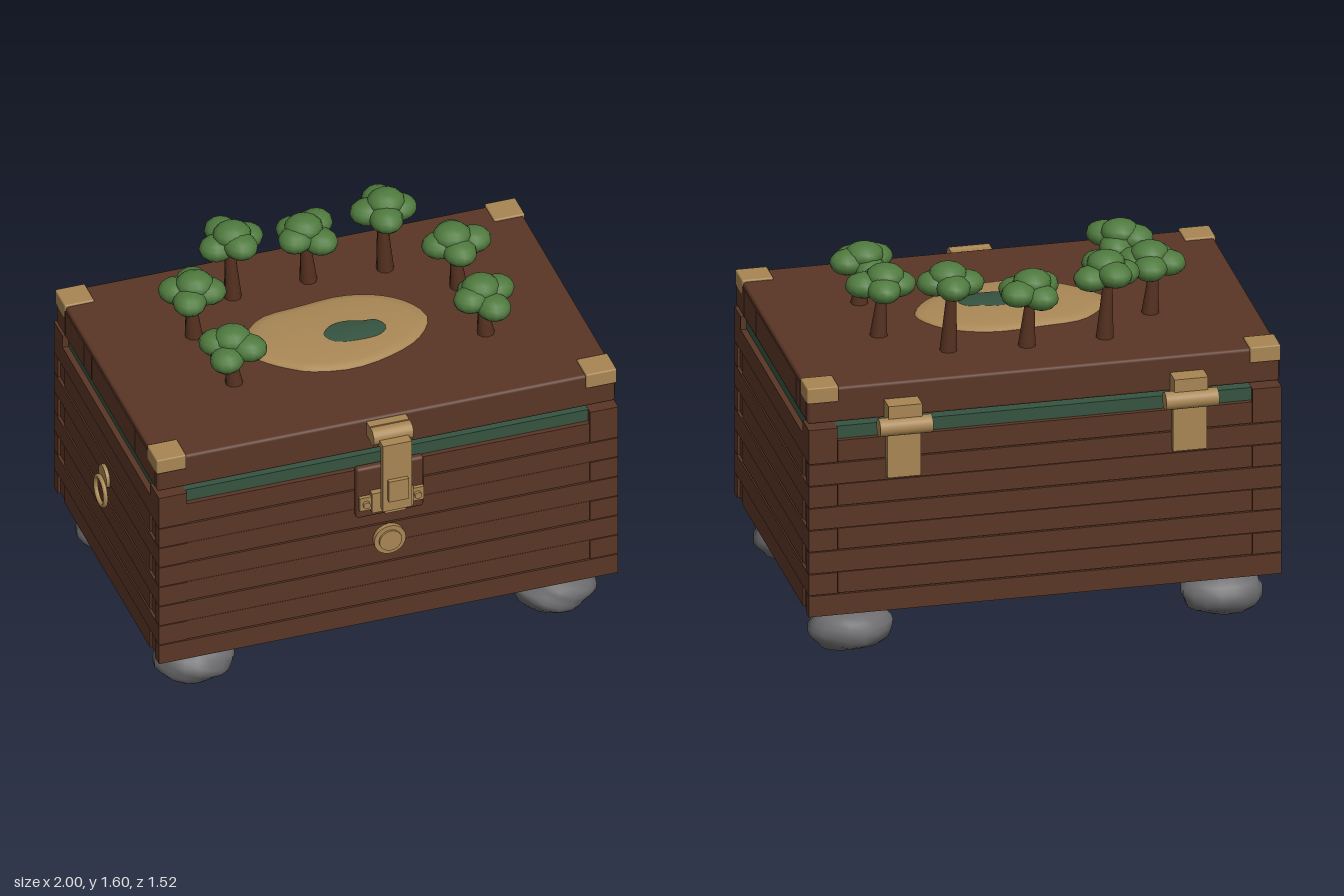
import * as THREE from 'three';
import { RoundedBoxGeometry } from 'three/addons/geometries/RoundedBoxGeometry.js';

const mat = (name, color, extra = {}) => {
  const m = new THREE.MeshStandardMaterial({ color, ...extra });
  m.name = name;
  return m;
};

export function createModel() {
  const wood = mat('wood brown', 0x5a3626);
  const bark = mat('bark brown', 0x54301f);
  const brass = mat('brass', 0xa88653);
  const sandMat = mat('sand', 0xaa8856);
  const teal = mat('deep green', 0x355340);
  const leaf = mat('leaf green', 0x4f7a3e);
  const stone = mat('stone grey', 0x6c6c6e);

  const root = new THREE.Group();
  root.name = 'treasureChest';
  const group = (name, parent = root) => {
    const g = new THREE.Group();
    g.name = name;
    parent.add(g);
    return g;
  };
  const add = (name, geo, material, parent = root) => {
    const m = new THREE.Mesh(geo, material);
    m.name = name;
    parent.add(m);
    return m;
  };
  // Box given by its minimum and maximum on each axis
  const box = (name, [x0, x1], [y0, y1], [z0, z1], material, parent, round = 0) => {
    const s = [x1 - x0, y1 - y0, z1 - z0];
    const geo = round ? new RoundedBoxGeometry(...s, 1, round) : new THREE.BoxGeometry(...s);
    const m = add(name, geo, material, parent);
    m.position.set((x0 + x1) / 2, (y0 + y1) / 2, (z0 + z1) / 2);
    return m;
  };
  // Cylinder lying along an axis
  const rod = (name, r, len, axis, [x, y, z], material, parent) => {
    const geo = new THREE.CylinderGeometry(r, r, len, 20);
    if (axis === 'x') geo.rotateZ(Math.PI / 2);
    if (axis === 'z') geo.rotateX(Math.PI / 2);
    const m = add(name, geo, material, parent);
    m.position.set(x, y, z);
    return m;
  };

  const CX = 0.016; // centre line of the chest
  const X = [-0.967, 1.0], Z = [-0.68, 0.63];

  // Chest body: rows of planks with interlocking corners
  const body = group('body');
  box('core', [X[0] + 0.012, X[1] - 0.012], [0.222, 0.985], [Z[0] + 0.012, Z[1] - 0.012], wood, body);
  box('base', [-0.88, 0.915], [0.188, 0.23], [-0.585, 0.535], wood, body, 0.01);
  box('lining', [X[0] + 0.025, X[1] - 0.025], [0.95, 1.043], [Z[0] + 0.025, Z[1] - 0.025], teal, body);
  const rows = [0.22, 0.315, 0.41, 0.507, 0.603, 0.7, 0.797, 0.893, 0.99];
  const T = 0.12, gap = 0.002;
  for (let i = 0; i < 8; i++) {
    const y = [rows[i] + gap, rows[i + 1] - gap];
    const odd = i % 2;
    const inset = odd ? 0.004 : 0;
    const fx = odd ? [X[0] + T + gap, X[1] - T - gap] : X;
    const sz = odd ? Z : [Z[0] + T + gap, Z[1] - T - gap];
    box('frontPlank', fx, y, [Z[1] - 0.05, Z[1] - inset], wood, body);
    box('backPlank', fx, y, [Z[0] + inset, Z[0] + 0.05], wood, body);
    for (const s of [0, 1]) {
      const x = s ? [X[1] - T, X[1] - 0.004 + inset] : [X[0] + 0.004 - inset, X[0] + T];
      box('sidePlank', x, y, sz, wood, body);
    }
  }
  for (const x of [[X[0], X[0] + T], [X[1] - T, X[1]]])
    for (const z of [[Z[0], Z[0] + 0.11], [Z[1] - 0.11, Z[1]]])
      box('cornerBlock', x, [0.985, 1.045], z, wood, body);

  // Lid with board ends and brass corners
  const lid = group('lid');
  box('lidSlab', [X[0] + 0.002, X[1] - 0.002], [1.057, 1.21], [-0.65, 0.602], wood, lid, 0.012);
  const cuts = [-0.635, -0.53, -0.46, -0.3, -0.2, -0.08, 0.126, 0.244, 0.333, 0.455, 0.588];
  for (let i = 0; i < cuts.length - 1; i++)
    for (const x of [[X[0] - 0.002, X[0] + 0.02], [X[1] - 0.02, X[1] + 0.001]])
      box('lidBoardEnd', x, [1.074, 1.192], [cuts[i] + 0.002, cuts[i + 1] - 0.002], wood, lid);
  for (const x of [[X[0] - 0.003, -0.842], [0.87, X[1] + 0.002]])
    for (const z of [[-0.658, -0.535], [0.488, 0.61]])
      box('lidCorner', x, [1.15, 1.219], z, brass, lid, 0.006);

  // Boulder feet
  for (const [x, z, seed] of [[-0.755, 0.455, 1], [0.79, 0.455, 2.3], [-0.755, -0.503, 3.9], [0.79, -0.503, 5.2]]) {
    const geo = new THREE.SphereGeometry(1, 18, 12);
    const p = geo.attributes.position, v = new THREE.Vector3();
    for (let i = 0; i < p.count; i++) {
      v.fromBufferAttribute(p, i);
      const k = 1 + 0.05 * Math.sin(v.x * 4 + seed) * Math.cos(v.z * 4 - seed) + 0.035 * Math.sin(v.y * 7 + v.x * 5 + seed * 2);
      v.multiplyScalar(k);
      p.setXYZ(i, v.x, v.y, v.z);
    }
    geo.scale(0.172, 0.1, 0.146);
    geo.computeVertexNormals();
    geo.computeBoundingBox();
    add('stoneFoot', geo, stone).position.set(x, -geo.boundingBox.min.y, z);
  }

  // Front clasp
  const clasp = group('clasp');
  box('claspBacking', [-0.13, 0.16], [0.765, 1.01], [0.62, 0.656], wood, clasp, 0.012);
  box('claspMount', [CX - 0.085, CX + 0.085], [1.135, 1.2], [0.59, 0.64], brass, clasp);
  rod('claspPin', 0.037, 0.17, 'x', [CX, 1.165, 0.66], brass, clasp);
  box('claspArm', [CX - 0.062, CX + 0.062], [1.135, 1.165], [0.66, 0.742], brass, clasp);
  box('claspStrap', [CX - 0.062, CX + 0.062], [0.84, 1.15], [0.713, 0.742], brass, clasp);
  box('claspBoss', [CX - 0.042, CX + 0.042], [0.895, 0.995], [0.735, 0.76], brass, clasp);
  box('claspPlate', [CX - 0.088, CX + 0.088], [0.8, 0.895], [0.65, 0.683], brass, clasp);
  box('claspLatch', [CX - 0.045, CX + 0.045], [0.81, 0.87], [0.66, 0.715], brass, clasp);
  for (const s of [-1, 1]) {
    const x = CX + s * 0.11;
    box('claspWing', [x - 0.027, x + 0.027], [0.812, 0.875], [0.65, 0.672], brass, clasp);
    rod('claspRivet', 0.015, 0.02, 'z', [x, 0.843, 0.675], brass, clasp);
  }

  // Round lock below the clasp
  const lock = group('roundLock');
  rod('lockDisc', 0.068, 0.03, 'z', [CX, 0.627, 0.635], brass, lock);
  rod('lockCap', 0.048, 0.014, 'z', [CX, 0.627, 0.652], brass, lock);

  // Rear hinges
  for (const x of [-0.58, 0.61]) {
    const hinge = group('hinge');
    rod('hingeBarrel', 0.038, 0.22, 'x', [x, 1.048, -0.722], brass, hinge);
    box('hingeUpperPlate', [x - 0.07, x + 0.07], [1.05, 1.14], [-0.73, -0.645], brass, hinge);
    box('hingeLowerPlate', [x - 0.07, x + 0.07], [0.815, 1.04], [-0.706, -0.67], brass, hinge);
  }

  // Ring handle on the right side
  const handle = group('ringHandle');
  rod('handleMount', 0.05, 0.02, 'x', [-0.972, 0.715, -0.03], brass, handle);
  const ring = add('handleRing', new THREE.TorusGeometry(0.062, 0.01, 8, 28), brass, handle);
  ring.rotation.y = Math.PI / 2;
  ring.position.set(-0.99, 0.645, -0.03);

  // Irregular low mound, built from shrinking rings of one outline
  const mound = (name, outline, cx, cz, profile, material) => {
    const curve = new THREE.CatmullRomCurve3(outline.map(([x, z]) => new THREE.Vector3(x - cx, 0, z - cz)), true);
    const rim = curve.getPoints(40).slice(0, 40);
    const pos = [], index = [];
    profile.forEach(([k, y]) => rim.forEach((q) => pos.push(cx + q.x * k, y, cz + q.z * k)));
    for (let r = 0; r < profile.length - 1; r++)
      for (let i = 0; i < 40; i++) {
        const a = r * 40 + i, b = r * 40 + (i + 1) % 40;
        index.push(a, b + 40, b, a, a + 40, b + 40);
      }
    const geo = new THREE.BufferGeometry();
    geo.setAttribute('position', new THREE.Float32BufferAttribute(pos, 3));
    geo.setIndex(index);
    geo.computeVertexNormals();
    add(name, geo, material);
  };
  sandMat.side = teal.side = THREE.DoubleSide;
  mound('sandPatch', [[-0.4, -0.03], [-0.35, -0.11], [-0.25, -0.2], [-0.08, -0.225], [0.11, -0.24], [0.25, -0.2],
    [0.35, -0.12], [0.4, 0], [0.33, 0.12], [0.2, 0.2], [0, 0.247], [-0.18, 0.21], [-0.235, 0.175], [-0.32, 0.1]],
  0, 0, [[1, 1.209], [0.98, 1.221], [0.85, 1.228], [0.5, 1.235], [0, 1.238]], sandMat);
  mound('pond', [[-0.055, 0.02], [-0.01, -0.03], [0.06, -0.04], [0.13, -0.02], [0.185, -0.01], [0.21, 0.04],
    [0.17, 0.085], [0.07, 0.098], [-0.03, 0.075]], 0.075, 0.03, [[1, 1.232], [0.96, 1.241], [0, 1.241]], teal);

  // Trees: tapered trunk, three branches, clustered crown [x, z, top height, turn]
  const trees = [[-0.55, -0.185, 1.52, 0.4], [-0.312, -0.39, 1.582, 1.3], [0.015, -0.4, 1.535, 2.5],
    [0.335, -0.375, 1.595, 0.1], [0.575, -0.16, 1.52, 3.2], [0.575, 0.18, 1.48, 4.4], [-0.503, 0.18, 1.475, 5.3]];
  const limb = (name, a, b, r0, r1, parent) => {
    const d = b.clone().sub(a);
    const m = add(name, new THREE.CylinderGeometry(r1, r0, d.length(), 9), bark, parent);
    m.position.copy(a).addScaledVector(d, 0.5);
    m.quaternion.setFromUnitVectors(new THREE.Vector3(0, 1, 0), d.normalize());
  };
  const lobeGeo = new THREE.SphereGeometry(1, 12, 8);
  for (const [x, z, top, turn] of trees) {
    const tree = group('tree');
    tree.position.set(x, 1.205, z);
    const h = top - 1.205;
    const fork = new THREE.Vector3(0, h - 0.15, 0);
    limb('trunk', new THREE.Vector3(0.012, 0, 0), fork, 0.037, 0.021, tree);
    for (let i = 0; i < 4; i++) {
      const a = turn + i * Math.PI / 2;
      const reach = 0.066 + 0.008 * Math.sin(i * 2.1 + turn);
      const lobe = add('crownLobe', lobeGeo, leaf, tree);
      lobe.position.set(Math.cos(a) * reach, h - 0.09 + 0.014 * Math.sin(i * 3 + turn), Math.sin(a) * reach);
      lobe.scale.set(0.077, 0.052, 0.07);
      lobe.rotation.y = -a;
      if (i < 3) limb('branch', fork, lobe.position, 0.017, 0.009, tree);
    }
    const cap = add('crownTop', lobeGeo, leaf, tree);
    cap.position.set(0.015 * Math.cos(turn), h - 0.052, 0.015 * Math.sin(turn));
    cap.scale.set(0.08, 0.052, 0.075);
  }
  return root;
}
